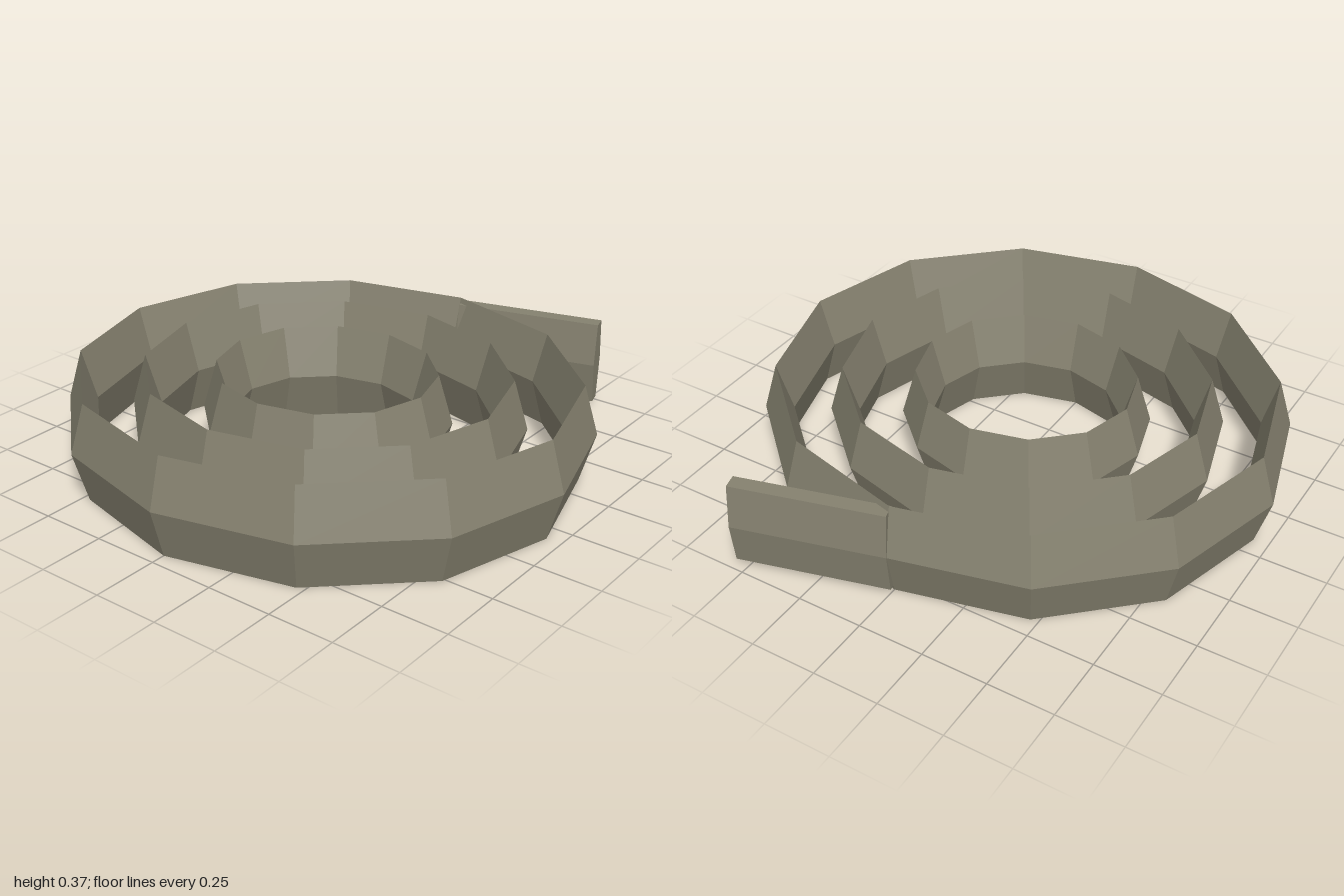
import * as THREE from 'three';

const CENTRE_X = -0.075;
const MID_Y = 0.188;

export function createModel() {
  const group = new THREE.Group();
  const material = new THREE.MeshStandardMaterial({ color: 0x85816f, flatShading: true });

  const add = (name, geometry, x, z) => {
    const flat = geometry.toNonIndexed();
    flat.computeVertexNormals();
    const mesh = new THREE.Mesh(flat, material);
    mesh.name = name;
    mesh.position.set(x, MID_Y, z);
    group.add(mesh);
    return mesh;
  };

  // Concentric twelve-sided bands with a tall diamond section, slightly narrower in x
  const tube = 0.055;
  const rings = { outerRing: 0.942, middleRing: 0.69, innerRing: 0.415 };
  for (const [name, radius] of Object.entries(rings)) {
    const ring = new THREE.TorusGeometry(radius, tube, 4, 12);
    ring.scale(1, 1, 0.187 / tube);
    ring.rotateX(Math.PI / 2);
    ring.scale(0.925, 1, 1);
    add(name, ring, CENTRE_X, 0);
  }

  // Loose end: a tall hexagonal bar leaving the outer band
  const length = 0.567;
  const section = new THREE.Shape(
    [[0.05, 0], [0.028, 0.163], [-0.028, 0.163], [-0.05, 0], [-0.028, -0.163], [0.028, -0.163]]
      .map(([x, y]) => new THREE.Vector2(x, y))
  );
  const bar = new THREE.ExtrudeGeometry(section, { depth: length, bevelEnabled: false });
  const tail = add('looseEnd', bar, 0.80, 0);
  tail.position.y = 0.191;
  tail.rotation.y = Math.atan2(0.15, 0.547);

  return group;
}
